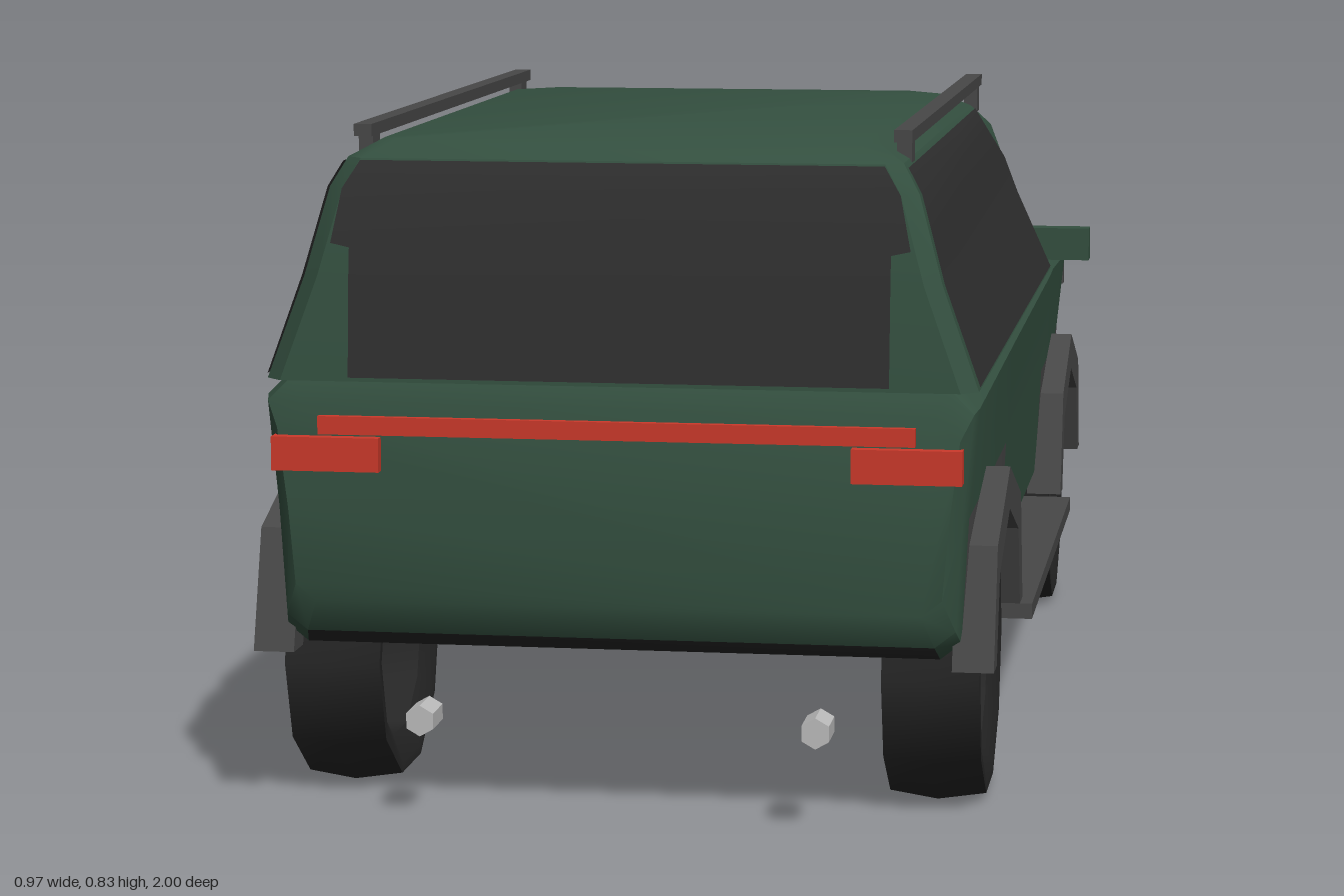
import * as THREE from 'three';
import { toCreasedNormals } from 'three/addons/utils/BufferGeometryUtils.js';

const material = (name, color, side = THREE.FrontSide) => {
  const m = new THREE.MeshStandardMaterial({ color, side });
  m.name = name;
  return m;
};

export function createModel() {
  const paint = material('green paint', 0x345040);
  const glass = material('dark glass', 0x303030, THREE.DoubleSide);
  const trim = material('grey trim', 0x484848);
  const rubber = material('tyre rubber', 0x262626);
  const under = material('underside', 0x242424);
  const red = material('red lamp', 0xcc3a2b);
  const silver = material('silver', 0xbcbcbc);

  const car = new THREE.Group();
  car.name = 'car';

  const add = (name, geometry, mat, x = 0, y = 0, z = 0) => {
    const mesh = new THREE.Mesh(geometry, mat);
    mesh.name = name;
    mesh.position.set(x, y, z);
    car.add(mesh);
    return mesh;
  };

  // Box given by its limits on each axis
  const box = (name, mat, [x0, x1], [y0, y1], [z0, z1]) =>
    add(name, new THREE.BoxGeometry(x1 - x0, y1 - y0, z1 - z0), mat,
      (x0 + x1) / 2, (y0 + y1) / 2, (z0 + z1) / 2);

  // Box repeated on both sides
  const boxPair = (name, mat, [x0, x1], ys, zs) => {
    box('left' + name, mat, [x0, x1], ys, zs);
    box('right' + name, mat, [-x1, -x0], ys, zs);
  };

  // Closed loft through rings, one geometry group per run of faces
  const loft = (name, rings, mats, pick) => {
    const lists = mats.map(() => []);
    const put = (k, ...pts) => pts.forEach((p) => lists[k].push(...p));
    const n = rings[0].length;
    for (let i = 0; i < rings.length - 1; i++) {
      for (let j = 0; j < n; j++) {
        const a = rings[i], b = rings[i + 1], j1 = (j + 1) % n;
        put(pick(i, j), a[j], b[j], b[j1], a[j], b[j1], a[j1]);
      }
    }
    const first = rings[0], last = rings[rings.length - 1];
    for (let j = 1; j < n - 1; j++) {
      put(0, first[0], first[j], first[j + 1]);
      put(0, last[0], last[j + 1], last[j]);
    }
    const geometry = new THREE.BufferGeometry();
    geometry.setAttribute('position', new THREE.Float32BufferAttribute(lists.flat(), 3));
    let start = 0;
    lists.forEach((list, k) => {
      geometry.addGroup(start, list.length / 3, k);
      start += list.length / 3;
    });
    return add(name, toCreasedNormals(geometry, 0.6), mats);
  };

  // Lower body: z, bottom, top, half width
  const stations = [
    [0.985, 0.27, 0.51, 0.4], [0.968, 0.23, 0.54, 0.415], [0.945, 0.212, 0.545, 0.42],
    [0.37, 0.212, 0.55, 0.42], [-0.32, 0.212, 0.555, 0.42], [-0.38, 0.212, 0.558, 0.42],
    [-0.62, 0.212, 0.547, 0.418], [-0.87, 0.222, 0.528, 0.408],
    [-0.945, 0.238, 0.508, 0.398], [-0.975, 0.28, 0.46, 0.385],
  ];
  const bodyRings = stations.map(([z, b, t, w]) => {
    const half = [[w - 0.035, b], [w - 0.01, b + 0.02], [w - 0.002, 0.383], [w + 0.01, t - 0.03], [w - 0.02, t]];
    return [
      ...half.map(([x, y]) => [x, y, z]),
      ...half.slice().reverse().map(([x, y]) => [-x, y, z]),
    ];
  });
  loft('lowerBody', bodyRings, [paint, trim, under], (i, j) => {
    if (j === 9 && i > 0 && i < 7) return 2;
    const nearWheel = i === 2 || (i >= 4 && i <= 6);
    return nearWheel && (j === 0 || j === 1 || j === 7 || j === 8) ? 1 : 0;
  });

  // Cabin: y, half width, rear z, bonnet-side z
  const levels = [
    [0.535, 0.429, 0.972, -0.385], [0.66, 0.384, 0.962, -0.272], [0.765, 0.355, 0.947, -0.172],
    [0.8, 0.335, 0.935, -0.06], [0.82, 0.3, 0.89, 0.0],
  ];
  const cabinRings = levels.map(([y, x, r, f]) => [
    [x, y, f + 0.05], [x, y, r - 0.02], [x - 0.02, y, r], [0.02 - x, y, r],
    [-x, y, r - 0.02], [-x, y, f + 0.05], [0.05 - x, y, f], [x - 0.05, y, f],
  ]);
  loft('cabin', cabinRings, [paint, glass], (i, j) => (j === 6 && i < 2 ? 1 : 0));

  // Value of a cabin column at height y
  const cabinAt = (y, column) => {
    let i = 0;
    while (i < levels.length - 2 && y > levels[i + 1][0]) i++;
    const a = levels[i], b = levels[i + 1];
    return THREE.MathUtils.lerp(a[column], b[column], (y - a[0]) / (b[0] - a[0]));
  };

  // Thin pane made from rows of two points
  const pane = (name, rows) => {
    const geometry = new THREE.BufferGeometry();
    geometry.setAttribute('position', new THREE.Float32BufferAttribute(rows.flat(2), 3));
    const index = [];
    for (let i = 0; i < rows.length - 1; i++) {
      const k = i * 2;
      index.push(k, k + 1, k + 3, k, k + 3, k + 2);
    }
    geometry.setIndex(index);
    geometry.computeVertexNormals();
    add(name, geometry, glass);
  };

  // Side windows: y, rear z, front z
  const sideRows = [
    [0.54, 0.948, -0.315], [0.66, 0.942, -0.218], [0.715, 0.934, -0.165],
    [0.765, 0.927, -0.03], [0.795, 0.917, -0.02],
  ];
  for (const s of [1, -1]) {
    pane(s > 0 ? 'leftWindows' : 'rightWindows', sideRows.map(([y, r, f]) => {
      const x = s * (cabinAt(y, 1) + 0.003);
      return s > 0 ? [[x, y, r], [x, y, f]] : [[x, y, f], [x, y, r]];
    }));
  }

  // Tail window: y, half width
  const tailRows = [[0.54, 0.325], [0.66, 0.325], [0.695, 0.325], [0.7, 0.348], [0.765, 0.335], [0.798, 0.315]];
  pane('tailWindow', tailRows.map(([y, x]) => {
    const z = cabinAt(y, 2) + 0.003;
    return [[-x, y, z], [x, y, z]];
  }));

  // Hollow tyres and wheel arch flares
  const profile = [
    [0.125, -0.045], [0.16, -0.0595], [0.172, -0.0595], [0.181, 0],
    [0.172, 0.0595], [0.16, 0.0595], [0.125, 0.045], [0.125, -0.045],
  ].map(([r, y]) => new THREE.Vector2(r, y));
  const tyre = toCreasedNormals(new THREE.LatheGeometry(profile, 10).rotateZ(Math.PI / 2), 0.7);

  const outer = [[-0.235, 0.2], [-0.19, 0.345], [0, 0.41], [0.19, 0.345], [0.235, 0.2]];
  const inner = [[0.19, 0.2], [0.152, 0.305], [0, 0.357], [-0.152, 0.305], [-0.19, 0.2]];
  const archShape = new THREE.Shape([...outer, ...inner].map(([u, v]) => new THREE.Vector2(u, v)));
  const arch = new THREE.ExtrudeGeometry(archShape, { depth: 0.05, bevelEnabled: false }).rotateY(Math.PI / 2);

  for (const [end, z] of [['tail', 0.725], ['bonnet', -0.53]]) {
    for (const [side, s] of [['Left', 1], ['Right', -1]]) {
      add(end + side + 'Tyre', tyre, rubber, s * 0.3685, 0.173, z);
      add(end + side + 'Arch', arch, trim, s > 0 ? 0.4 : -0.45, 0, z);
    }
  }

  // Side steps, mirrors and roof rails
  boxPair('Step', trim, [0.39, 0.465], [0.178, 0.198], [-0.285, 0.525]);
  boxPair('Mirror', paint, [0.395, 0.487], [0.55, 0.597], [-0.338, -0.305]);
  boxPair('RoofRail', trim, [0.318, 0.34], [0.82, 0.835], [-0.14, 0.865]);
  for (const z of [-0.1, 0.83]) {
    boxPair('RailFoot', trim, [0.32, 0.338], [0.785, 0.822], [z - 0.018, z + 0.018]);
  }

  // Red tail lamps and joining bar
  box('tailLightBar', red, [-0.358, 0.358], [0.474, 0.496], [0.96, 0.995]);
  boxPair('TailLamp', red, [0.283, 0.414], [0.43, 0.471], [0.955, 1.0]);

  // Grille and headlamps
  box('lampFrame', trim, [-0.41, 0.41], [0.437, 0.507], [-0.983, -0.955]);
  box('grille', trim, [-0.185, 0.185], [0.432, 0.51], [-0.998, -0.96]);
  boxPair('Headlamp', silver, [0.2, 0.402], [0.448, 0.5], [-0.99, -0.97]);

  // Hexagonal exhaust tips
  const pipe = toCreasedNormals(new THREE.CylinderGeometry(0.019, 0.019, 0.055, 6).rotateX(Math.PI / 2), 0.3);
  for (const s of [1, -1]) add(s > 0 ? 'leftExhaust' : 'rightExhaust', pipe, silver, s * 0.24, 0.125, 0.955);

  return car;
}
